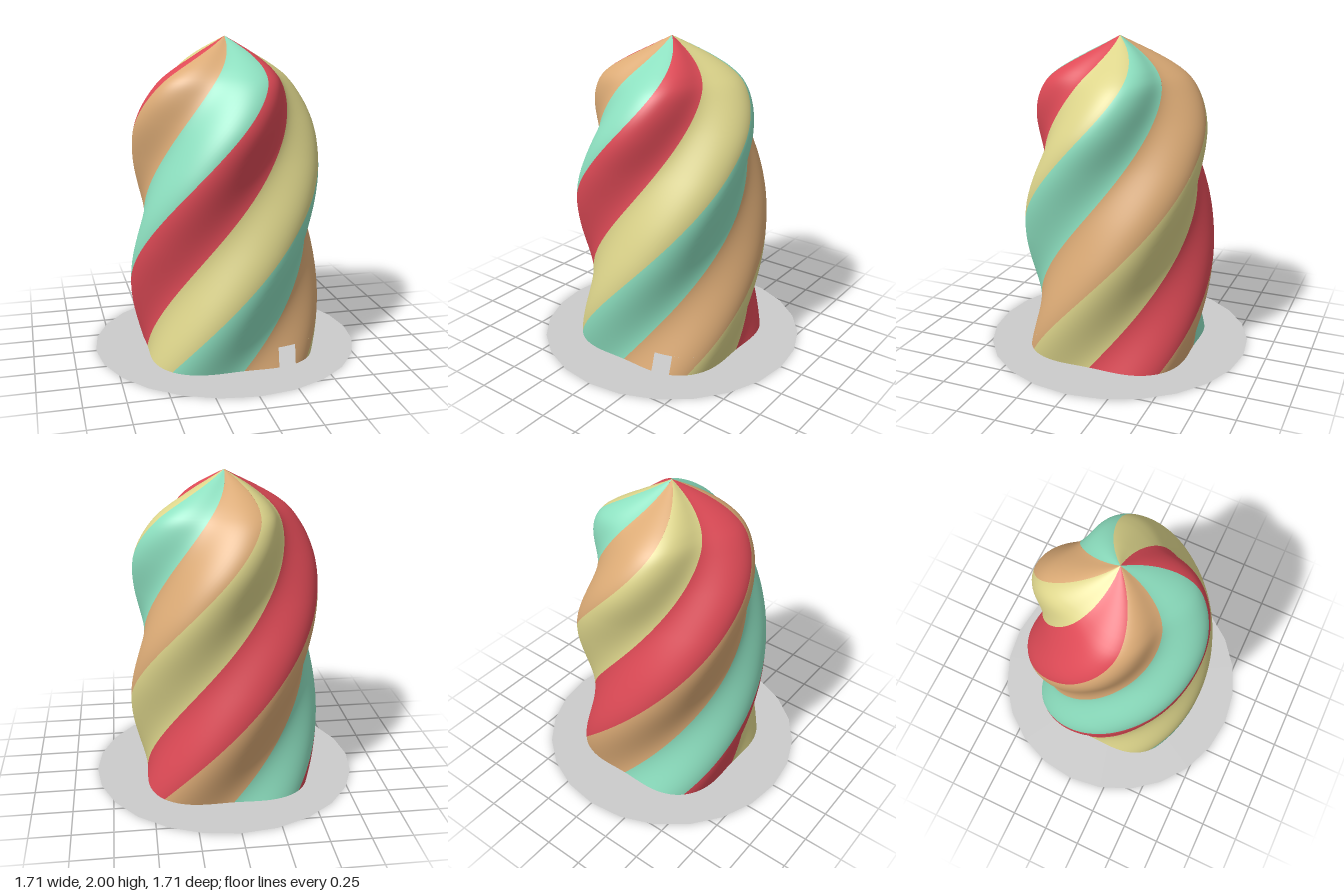
import * as THREE from 'three';

const TURN = Math.PI / 2; // twist per unit of height
const rad = THREE.MathUtils.degToRad;

// mean radius by height
const heights = [0, 0.25, 0.5, 0.75, 1, 1.25, 1.5, 1.67, 1.75, 1.8, 1.84, 1.9, 1.95, 2];
const radii = [0.565, 0.566, 0.567, 0.567, 0.56, 0.538, 0.498, 0.438, 0.388, 0.335, 0.28, 0.183, 0.092, 0];
const profile = new THREE.CubicInterpolant(heights, radii, 1, new Float32Array(1));

// point on the twisted four-lobed wall; phi is the angle before twisting
function wallPoint(phi, y) {
  const lobe = 0.08 + 0.04 * THREE.MathUtils.smoothstep(y, 0.75, 1.6);
  const r = profile.evaluate(y)[0] * (1 - lobe * Math.cos(4 * phi));
  const theta = phi + TURN * y;
  return new THREE.Vector3(r * Math.sin(theta), y, r * Math.cos(theta));
}

function wallNormal(phi, y) {
  const e = 1e-3;
  const h = THREE.MathUtils.clamp(y, 0.002, 1.99);
  const du = wallPoint(phi + e, h).sub(wallPoint(phi - e, h));
  const dv = wallPoint(phi, h + e).sub(wallPoint(phi, h - e));
  return du.cross(dv).normalize();
}

// patch of wall between two edges, each giving phi by height
function wallPatch(edgeA, edgeB, y0, y1, cols, rows) {
  const position = [], normal = [], index = [];
  for (let j = 0; j <= rows; j++) {
    const y = y0 + (y1 - y0) * j / rows;
    for (let i = 0; i <= cols; i++) {
      const phi = THREE.MathUtils.lerp(edgeA(y), edgeB(y), i / cols);
      position.push(...wallPoint(phi, y).toArray());
      normal.push(...wallNormal(phi, y).toArray());
      if (i < cols && j < rows) {
        const a = j * (cols + 1) + i, b = a + cols + 1;
        index.push(a, a + 1, b + 1, a, b + 1, b);
      }
    }
  }
  const g = new THREE.BufferGeometry();
  g.setAttribute('position', new THREE.Float32BufferAttribute(position, 3));
  g.setAttribute('normal', new THREE.Float32BufferAttribute(normal, 3));
  g.setIndex(index);
  return g;
}

export function createModel() {
  const model = new THREE.Group();
  const paint = (color) => new THREE.MeshStandardMaterial({ color, side: THREE.DoubleSide });
  const orange = paint(0xdcab76), yellow = paint(0xddd58b), red = paint(0xde4a56), teal = paint(0x8de0c0);

  const add = (parent, name, geometry, material) => {
    const mesh = new THREE.Mesh(geometry, material);
    mesh.name = name;
    parent.add(mesh);
    return mesh;
  };

  // eight spiral stripes; the first one holds the doorway
  const tower = new THREE.Group();
  tower.name = 'twistedTower';
  model.add(tower);
  const doorTop = 0.12;
  [orange, yellow, red, orange, teal, red, yellow, teal].forEach((material, k) => {
    const start = () => k * Math.PI / 4;
    const end = () => (k + 1) * Math.PI / 4;
    add(tower, 'stripe', wallPatch(start, end, k ? 0 : doorTop, 2, 16, 100), material);
    if (k === 0) {
      const jamb = (bottom, top) => (y) =>
        rad(THREE.MathUtils.lerp(bottom, top, y / doorTop)) - TURN * y;
      add(tower, 'wallBesideDoor', wallPatch(start, jamb(23.3, 24.8), 0, doorTop, 8, 8), material);
      add(tower, 'wallBesideDoor', wallPatch(jamb(34.6, 36.5), end, 0, doorTop, 8, 8), material);
    }
  });

  // flat ground disc
  const disc = new THREE.CircleGeometry(0.855, 24).rotateX(-Math.PI / 2);
  add(model, 'baseDisc', disc, paint(0xcccccc));

  return model;
}
